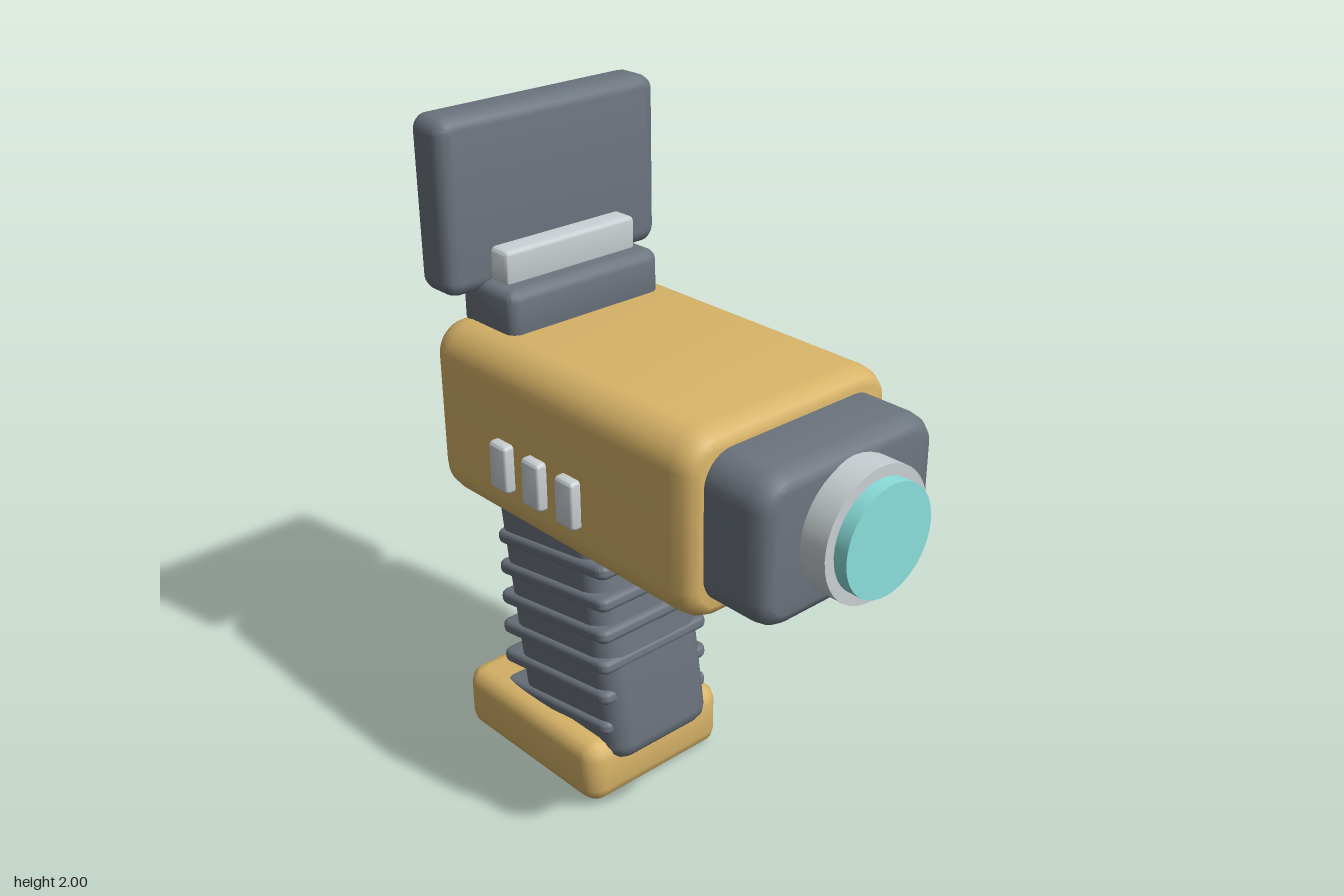
import * as THREE from 'three';
import { toCreasedNormals } from 'three/addons/utils/BufferGeometryUtils.js';

function material(name, color) {
  const m = new THREE.MeshStandardMaterial({ color });
  m.name = name;
  return m;
}

// Rounded rectangle extruded along z with a bevelled rim, centred on the origin.
// r = corner radius of the outline, b = bevel inset, t = bevel depth
function softBlock(w, h, d, r, b, t = b) {
  const x = w / 2 - b, y = h / 2 - b, c = Math.max(r - b, 0.004);
  const s = new THREE.Shape();
  s.moveTo(-x + c, -y);
  s.lineTo(x - c, -y);
  s.absarc(x - c, -y + c, c, -Math.PI / 2, 0, false);
  s.lineTo(x, y - c);
  s.absarc(x - c, y - c, c, 0, Math.PI / 2, false);
  s.lineTo(-x + c, y);
  s.absarc(-x + c, y - c, c, Math.PI / 2, Math.PI, false);
  s.lineTo(-x, -y + c);
  s.absarc(-x + c, -y + c, c, Math.PI, Math.PI * 1.5, false);
  const g = new THREE.ExtrudeGeometry(s, {
    depth: d - 2 * t, curveSegments: 4, bevelEnabled: true,
    bevelSize: b, bevelThickness: t, bevelSegments: 3,
  });
  g.translate(0, 0, -d / 2 + t);
  return toCreasedNormals(g, 0.8);
}

// The same block standing upright: outline in xz, bevels at top and bottom
function uprightBlock(w, h, d, r, b) {
  return softBlock(w, d, h, r, b).rotateX(-Math.PI / 2);
}

export function createModel() {
  const yellow = material('warm yellow casing', 0xd8b468);
  const grey = material('slate grey', 0x6c747e);
  const silver = material('pale silver', 0xc9d0d3);
  const aqua = material('aqua lens', 0x8adfdc);
  const glass = material('dark screen', 0x2b3b44);

  const model = new THREE.Group();
  model.name = 'handheldScanner';
  const add = (name, geometry, mat, x, y, z) => {
    const mesh = new THREE.Mesh(geometry, mat);
    mesh.name = name;
    mesh.position.set(x, y, z);
    model.add(mesh);
    return mesh;
  };

  // Main casing and muzzle
  add('body', softBlock(0.715, 0.52, 1.03, 0.1, 0.04, 0.07), yellow, 0, 1.17, -0.105);
  add('muzzle', softBlock(0.615, 0.42, 0.3, 0.09, 0.04, 0.06), grey, 0, 1.17, 0.46);

  // Lens with its collar
  const disc = (r, d) => new THREE.CylinderGeometry(r, r, d, 40).rotateX(Math.PI / 2);
  add('lensCollar', disc(0.184, 0.14), silver, 0, 1.17, 0.62);
  add('lens', disc(0.153, 0.08), aqua, 0, 1.17, 0.69);

  // Three buttons on each flank
  for (const side of [-1, 1]) {
    for (let i = 0; i < 3; i++) {
      add('sideButton', softBlock(0.05, 0.14, 0.074, 0.012, 0.01), silver,
        side * 0.362, 1.11, -0.03 - i * 0.138);
    }
  }

  // Raked grip with a stack of ribs
  const rake = -0.15;
  add('grip', uprightBlock(0.38, 0.88, 0.46, 0.07, 0.05), grey, 0, 0.55, -0.35).rotation.x = rake;
  for (let i = 0; i < 6; i++) {
    add('gripRib', uprightBlock(0.41, 0.042, 0.495, 0.03, 0.016), grey,
      0, 0.75 - i * 0.105, -0.347).rotation.x = rake;
  }

  // Foot of the grip
  add('base', uprightBlock(0.52, 0.205, 0.625, 0.06, 0.05), yellow, 0, 0.1075, -0.412);

  // Screen mount
  add('screenMount', uprightBlock(0.525, 0.15, 0.23, 0.03, 0.03), grey, 0, 1.475, -0.487);
  add('mountBar', softBlock(0.45, 0.1, 0.13, 0.015, 0.012), silver, 0, 1.59, -0.5);

  // Display panel with its screen on the back
  add('displayPanel', softBlock(0.735, 0.48, 0.135, 0.045, 0.035), grey, 0, 1.76, -0.568);
  add('screen', new THREE.BoxGeometry(0.61, 0.36, 0.008), glass, 0, 1.78, -0.637);

  // Hinge rod and its two end knuckles
  const rod = (r, l) => new THREE.CylinderGeometry(r, r, l, 16).rotateZ(Math.PI / 2);
  add('hingeRod', rod(0.02, 0.4), grey, 0, 1.535, -0.63);
  for (const side of [-1, 1]) {
    add('hingeKnuckle', softBlock(0.086, 0.042, 0.05, 0.014, 0.01), silver,
      side * 0.226, 1.545, -0.645);
  }
  return model;
}
